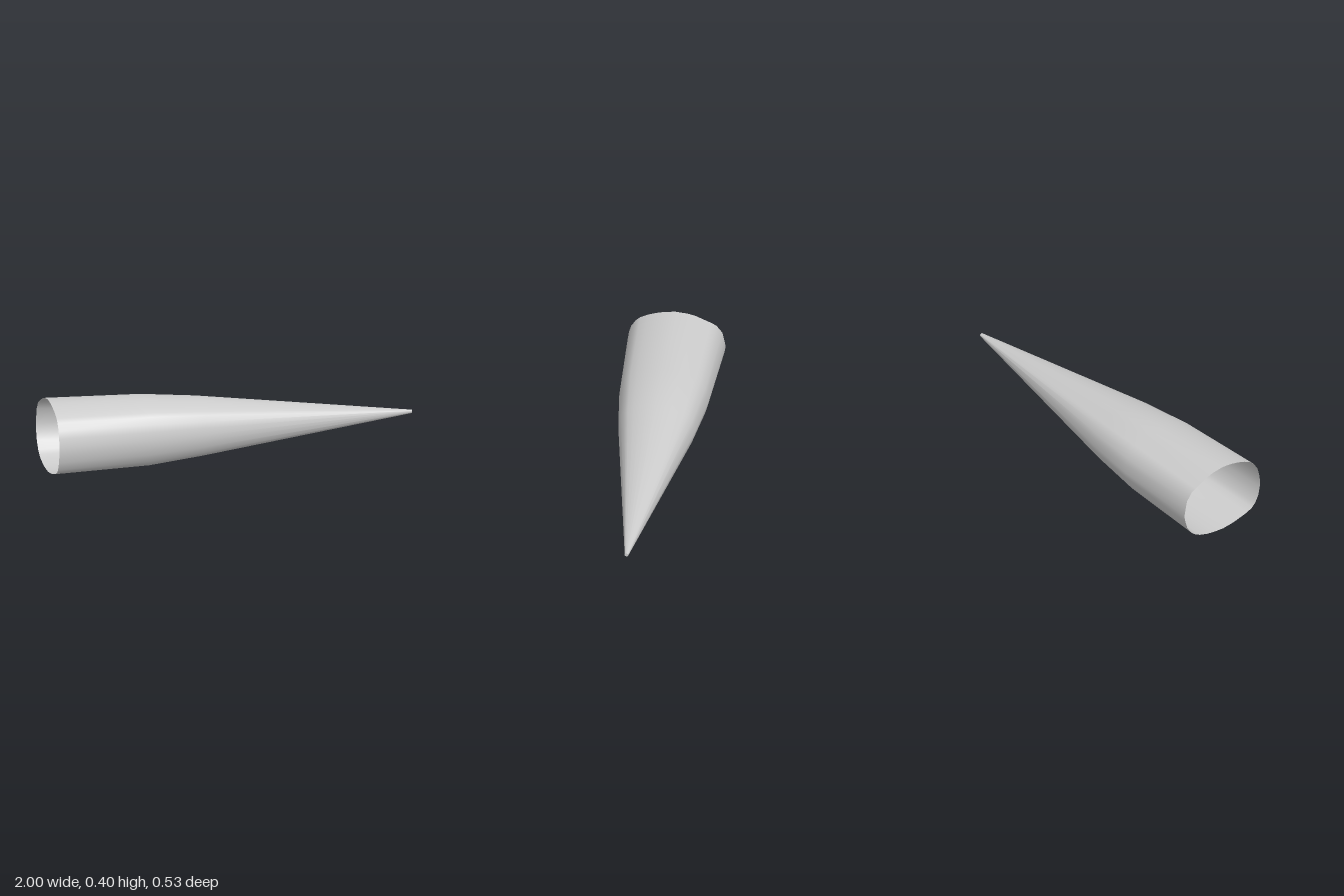
import * as THREE from 'three';

// Base outline as [z, y], counter-clockwise seen from +x
const OUTLINE = [
  [0.006, 0.398], [0.065, 0.391], [0.112, 0.38], [0.158, 0.364], [0.198, 0.343], [0.22, 0.323],
  [0.245, 0.284], [0.257, 0.243], [0.264, 0.196], [0.262, 0.157], [0.253, 0.11], [0.23, 0.066],
  [0.209, 0.046], [0.175, 0.03], [0.1, 0.012], [0.066, 0.006], [0.006, 0], [-0.06, 0.006],
  [-0.102, 0.013], [-0.157, 0.03], [-0.187, 0.046], [-0.212, 0.066], [-0.243, 0.11], [-0.257, 0.157],
  [-0.264, 0.196], [-0.255, 0.243], [-0.246, 0.284], [-0.214, 0.327], [-0.185, 0.343],
  [-0.102, 0.38], [-0.06, 0.391],
];
const MID_Y = 0.199;

// Stations along the cone: x, z scale, y scale, centre z, centre y
const STATIONS = [
  [-1, 1, 1, 0, 0.199],
  [-0.48, 0.91, 0.94, 0, 0.201],
  [-0.18, 0.78, 0.79, 0, 0.204],
  [1, 0.037, 0.045, 0.005, 0.206],
];

function ring([x, sz, sy, cz, cy]) {
  return OUTLINE.map(([z, y]) => [x, cy + (y - MID_Y) * sy, cz + z * sz]);
}

function makeMesh(name, points, index, material) {
  const geometry = new THREE.BufferGeometry();
  geometry.setAttribute('position', new THREE.Float32BufferAttribute(points.flat(), 3));
  geometry.setIndex(index);
  geometry.computeVertexNormals();
  const mesh = new THREE.Mesh(geometry, material);
  mesh.name = name;
  return mesh;
}

export function createModel() {
  const group = new THREE.Group();
  group.name = 'taperedCone';
  const material = new THREE.MeshStandardMaterial({ color: 0xcccccc, side: THREE.DoubleSide });
  const n = OUTLINE.length;

  // Shell, open at the wide end
  const index = [];
  for (let i = 0; i < STATIONS.length - 1; i++) {
    for (let j = 0; j < n; j++) {
      const a = i * n + j;
      const b = i * n + (j + 1) % n;
      index.push(a, b, a + n, b, b + n, a + n);
    }
  }
  group.add(makeMesh('shell', STATIONS.flatMap(ring), index, material));

  // Small flat cap closing the tip
  const tip = STATIONS[STATIONS.length - 1];
  const capIndex = [];
  for (let j = 0; j < n; j++) capIndex.push(n, (j + 1) % n, j);
  for (let k = 0; k < capIndex.length; k += 3) {
    [capIndex[k + 1], capIndex[k + 2]] = [capIndex[k + 2], capIndex[k + 1]];
  }
  group.add(makeMesh('tipCap', [...ring(tip), [tip[0], tip[4], tip[3]]], capIndex, material));

  return group;
}
